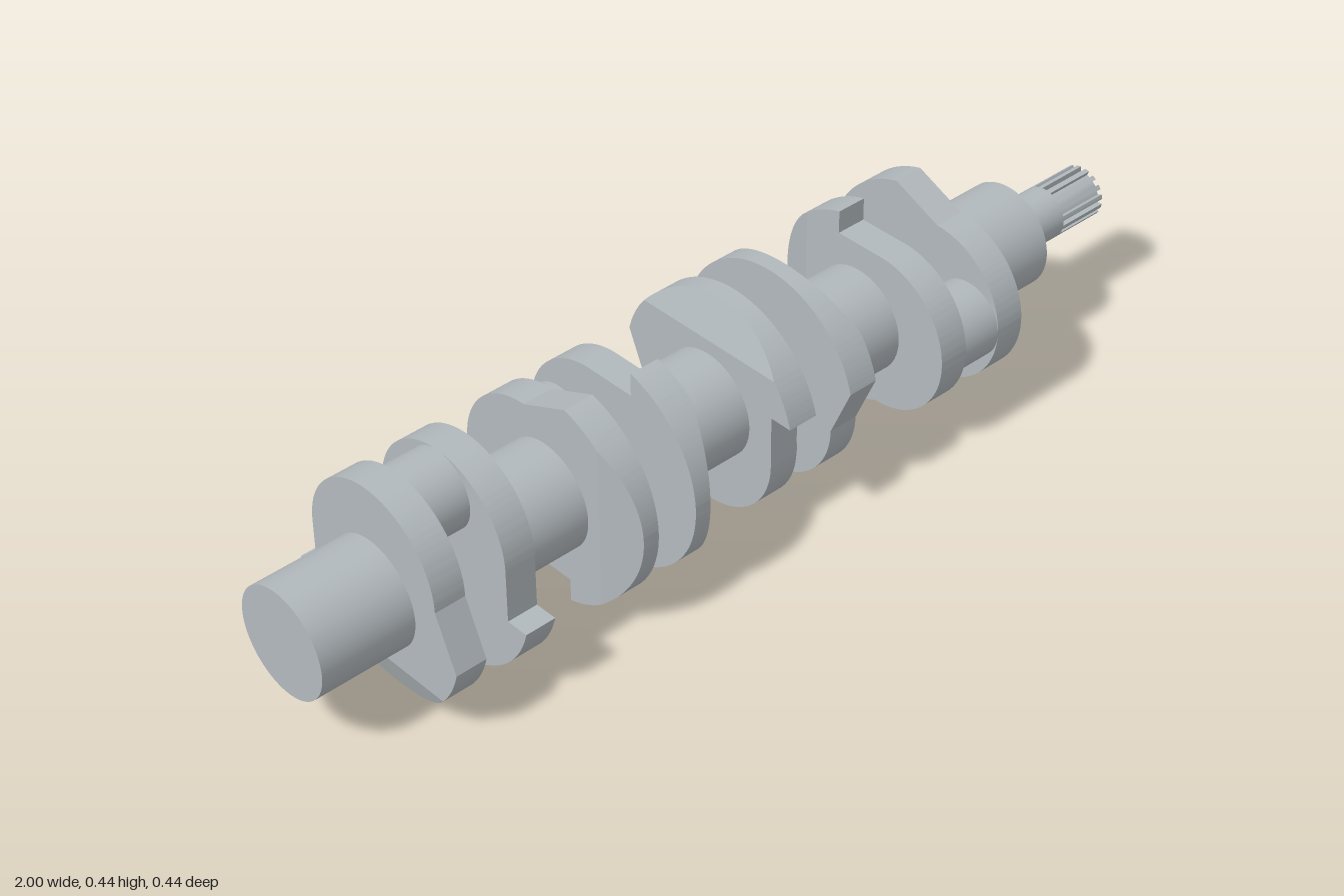
import * as THREE from 'three';
import { mergeGeometries, toCreasedNormals } from 'three/addons/utils/BufferGeometryUtils.js';

const R = 0.222;             // counterweight radius, also the axis height
const SHAFT_R = 0.11, STUB_R = 0.055;
const PIN_R = 0.08, PIN_OFFSET = 0.142;
const INNER = 0.044, OUTER = 0.109, THICK = OUTER - INNER;
const ARM = 0.167, STEP = 0.055, CUT = 0.14, CHAMFER = 0.03;

export function createModel() {
  const steel = new THREE.MeshStandardMaterial({ color: 0xb2b9bd });
  steel.name = 'steel grey';
  const model = new THREE.Group();
  model.name = 'crankshaft';
  const shaft = new THREE.Group();
  shaft.name = 'rotatingAssembly';
  shaft.position.y = R;
  model.add(shaft);

  const add = (parent, name, geometry) => {
    const mesh = new THREE.Mesh(geometry, steel);
    mesh.name = name;
    parent.add(mesh);
    return mesh;
  };
  // Cylinder along x between two stations
  const rod = (parent, name, r, x0, x1, y = 0) => {
    const g = new THREE.CylinderGeometry(r, r, x1 - x0, 64).rotateZ(-Math.PI / 2);
    return add(parent, name, g.translate((x0 + x1) / 2, y, 0));
  };

  // Throws: each entry is a centre station; the pin direction turns by 90 degrees
  const centres = [-0.694, -0.307, 0.082, 0.47];
  const webGeometry = makeWeb();
  centres.forEach((x, i) => {
    const crank = new THREE.Group();
    crank.name = `throw${i + 1}`;
    crank.position.x = x;
    crank.rotation.x = -i * Math.PI / 2;
    rod(crank, 'crankPin', PIN_R, -INNER, INNER, PIN_OFFSET);
    add(crank, 'webLeft', webGeometry);
    add(crank, 'webRight', webGeometry).rotation.y = Math.PI;
    shaft.add(crank);
  });

  // Main journals fill the spaces between the throws
  const ends = [-1, ...centres.flatMap(x => [x - OUTER, x + OUTER]), 0.775];
  for (let i = 0; i < ends.length; i += 2) {
    rod(shaft, `mainJournal${i / 2 + 1}`, SHAFT_R, ends[i], ends[i + 1]);
  }

  // Drive end
  rod(shaft, 'driveStub', STUB_R, 0.775, 0.885);
  add(shaft, 'spline', makeSpline(0.115)).position.x = 0.885;
  return model;
}

// Web with a rounded arm towards +y and a counterweight bevelled on its outer face
function makeWeb() {
  const a1 = -Math.asin(STEP / R), a2 = -Math.asin(CUT / R);
  const body = new THREE.Shape();
  body.moveTo(ARM, -STEP);
  body.absarc(0, 0, R, a1, a2, true);
  body.absarc(0, 0, R, -Math.PI - a2, -Math.PI - a1, true);
  body.lineTo(-ARM, -STEP);
  body.absarc(0, STEP, ARM, Math.PI, 0, true);
  body.closePath();

  const tip = new THREE.Shape();
  tip.absarc(0, 0, R, a2, -Math.PI - a2, true);
  tip.closePath();

  const options = { depth: THICK, bevelEnabled: false, curveSegments: 40 };
  const bodyGeometry = new THREE.ExtrudeGeometry(body, options);
  const tipGeometry = new THREE.ExtrudeGeometry(tip, options);

  // Lean the outer face of the tip inwards
  const p = tipGeometry.attributes.position;
  for (let i = 0; i < p.count; i++) {
    if (p.getZ(i) > THICK / 2) {
      p.setZ(i, THICK - CHAMFER * (-p.getY(i) - CUT) / (R - CUT));
    }
  }
  tipGeometry.computeVertexNormals();
  const web = toCreasedNormals(mergeGeometries([bodyGeometry, tipGeometry]), 0.25);
  return web.translate(0, 0, INNER).rotateY(Math.PI / 2);
}

// Grooved end: square grooves cut into a round bar
function makeSpline(length) {
  const teeth = 16, pitch = Math.PI * 2 / teeth, half = 0.0058, floor = 0.044;
  const points = [];
  for (let i = 0; i < teeth; i++) {
    const a = Math.PI / 2 + i * pitch;
    const polar = (r, t) => points.push(new THREE.Vector2(r * Math.cos(t), r * Math.sin(t)));
    const wide = half / floor, narrow = half / STUB_R;
    polar(STUB_R, a - narrow);
    polar(floor, a - wide);
    polar(floor, a + wide);
    polar(STUB_R, a + narrow);
    polar(STUB_R, a + pitch / 2);
  }
  const g = new THREE.ExtrudeGeometry(new THREE.Shape(points), { depth: length, bevelEnabled: false });
  return toCreasedNormals(g, 0.4).rotateY(Math.PI / 2);
}
